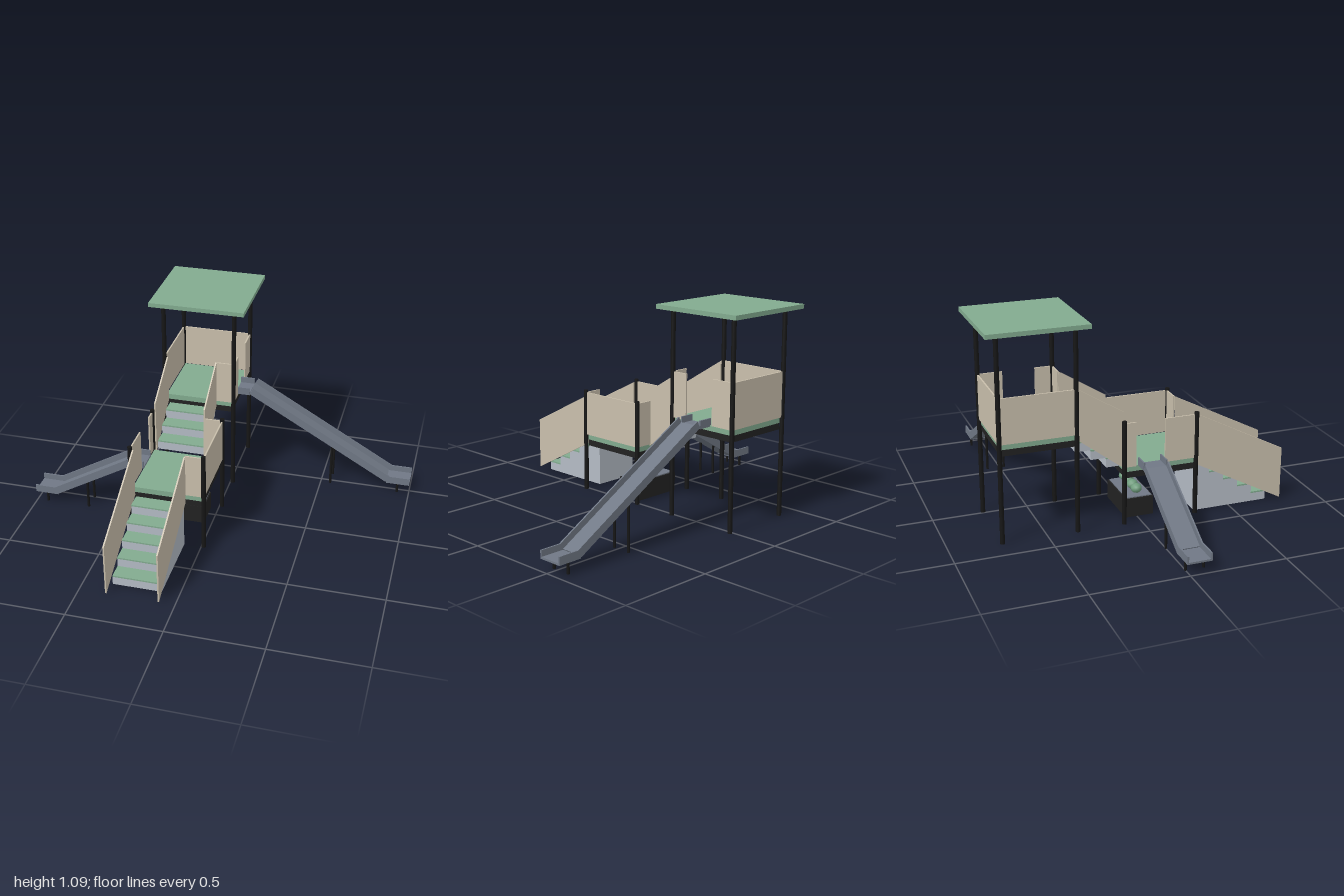
import * as THREE from 'three';

const mat = (name, color) => {
  const m = new THREE.MeshStandardMaterial({ color });
  m.name = name;
  return m;
};

export function createModel() {
  const model = new THREE.Group();
  model.name = 'playground';
  const green = mat('deck green', 0x82ab8f);
  const tan = mat('panel tan', 0xc9bfac);
  const stone = mat('stair grey', 0xb4bbc5);
  const steel = mat('slide grey', 0x707885);
  const black = mat('post black', 0x161616);
  const dark = mat('beam black', 0x222222);
  const leaf = mat('leaf green', 0x6f9d7d);

  const add = (name, geometry, material, parent = model) => {
    const m = new THREE.Mesh(geometry, material);
    m.name = name;
    parent.add(m);
    return m;
  };
  // Box given by its limits on each axis
  const box = (name, material, [x0, x1], [y0, y1], [z0, z1], parent) => {
    const m = add(name, new THREE.BoxGeometry(x1 - x0, y1 - y0, z1 - z0), material, parent);
    m.position.set((x0 + x1) / 2, (y0 + y1) / 2, (z0 + z1) / 2);
    return m;
  };
  // Upright round pole standing on the ground
  const pole = (name, x, z, h, r) => {
    add(name, new THREE.CylinderGeometry(r, r, h, 16), black).position.set(x, h / 2, z);
  };

  const L = -0.376, R = 0.013; // post lines
  const T = 0.004;             // half panel thickness
  const sidePanel = (x, y, z) => box('sidePanel', tan, [x - T, x + T], y, z);
  const crossPanel = (x, y, z) => box('crossPanel', tan, x, y, [z - T, z + T]);

  // Two decks with posts
  const decks = [
    { name: 'lower', y: 0.31, back: -0.093, front: 0.297, post: 0.557 },
    { name: 'upper', y: 0.52, back: -0.732, front: -0.342, post: 1.072 },
  ];
  for (const d of decks) {
    const z = [d.back + 0.006, d.front - 0.006];
    box(d.name + 'Deck', green, [-0.368, 0.005], [d.y - 0.03, d.y], z);
    box(d.name + 'Beam', dark, [-0.366, 0.003], [d.y - 0.064, d.y - 0.03], [z[0] + 0.002, z[1] - 0.002]);
    for (const x of [L, R]) for (const pz of [d.back, d.front]) pole(d.name + 'Post', x, pz, d.post, 0.012);
  }

  // Roof
  box('roof', green, [-0.442, 0.078], [1.07, 1.093], [-0.797, -0.283]);

  // Guard panels of the lower deck
  const lowY = [0.31, 0.545], highY = [0.52, 0.755];
  sidePanel(R, lowY, [-0.093, 0.297]);
  sidePanel(L, lowY, [-0.093, -0.03]);
  sidePanel(L, lowY, [0.125, 0.297]);
  crossPanel([-0.085, 0.008], lowY, 0.294);
  crossPanel([-0.085, 0.008], lowY, -0.092);
  // Guard panels of the upper deck
  sidePanel(L, highY, [-0.732, -0.342]);
  sidePanel(R, highY, [-0.435, -0.342]);
  sidePanel(R, highY, [-0.732, -0.605]);
  crossPanel([L, R], highY, -0.732);
  crossPanel([-0.085, 0.008], highY, -0.342);

  // Stair steps with green treads
  const step = (y0, y1, z0, z1) => {
    box('step', stone, [-0.35, -0.092], [y0, y1 - 0.008], [z0, z1]);
    box('tread', green, [-0.35, -0.092], [y1 - 0.008, y1], [z0, z1]);
  };
  for (let i = 0; i < 5; i++) {
    const front = 0.715 - i * 0.0825;
    step(0, (i + 1) * 0.0522, front - 0.0825, front);
  }
  for (let i = 0; i < 3; i++) {
    const front = -0.1 - i * 0.081;
    step(0.313 + i * 0.0525, 0.3655 + i * 0.0525, front - 0.081, front);
  }

  // Slanted stair panels, outlined in z and y
  const stairPanels = (name, points) => {
    const shape = new THREE.Shape(points.map(([z, y]) => new THREE.Vector2(-z, y)));
    const geo = new THREE.ExtrudeGeometry(shape, { depth: 2 * T, bevelEnabled: false });
    geo.rotateY(Math.PI / 2);
    for (const x of [-0.363, -0.09]) add(name, geo, tan).position.x = x;
  };
  stairPanels('lowerStairPanel', [[0.797, 0.002], [0.3, 0.268], [0.3, 0.542], [0.797, 0.285]]);
  stairPanels('upperStairPanel', [[-0.09, 0.3], [-0.34, 0.49], [-0.34, 0.755], [-0.09, 0.6]]);

  // Slides: straight trough sections along a centre line
  const slide = (name, z, sections, legs) => {
    const g = new THREE.Group();
    g.name = name;
    g.position.z = z;
    model.add(g);
    for (const [x0, y0, x1, y1] of sections) {
      const part = new THREE.Group();
      part.name = 'slideSection';
      const h = Math.hypot(x1 - x0, y1 - y0) / 2;
      part.position.set((x0 + x1) / 2, (y0 + y1) / 2, 0);
      part.rotation.z = Math.atan2(y1 - y0, x1 - x0);
      g.add(part);
      box('slideBed', steel, [-h, h], [-0.021, -0.011], [-0.063, 0.063], part);
      for (const s of [-1, 1]) {
        box('slideWall', steel, [-h, h], [-0.021, 0.021], [s * 0.06 - 0.004, s * 0.06 + 0.004], part);
      }
    }
    for (const [x, h] of legs) for (const s of [-1, 1]) pole('slideLeg', x, z + s * 0.047, h, 0.007);
  };
  slide('longSlide', -0.522,
    [[0, 0.533, 0.078, 0.533], [0.088, 0.537, 0.877, 0.084], [0.87, 0.081, 1, 0.081]],
    [[0.553, 0.25], [0.933, 0.063]]);
  slide('shortSlide', 0.047,
    [[-0.445, 0.33, -0.367, 0.33], [-0.877, 0.084, -0.453, 0.33], [-1, 0.081, -0.87, 0.081]],
    [[-0.7, 0.167], [-0.938, 0.063]]);

  // Planter with bushes under the lower deck
  box('planter', dark, [-0.312, -0.042], [0, 0.102], [-0.062, 0.09]);
  box('planterSoil', steel, [-0.305, -0.049], [0.102, 0.107], [-0.055, 0.083]);
  const bush = new THREE.IcosahedronGeometry(0.03, 1);
  [-0.265, -0.21, -0.15, -0.092].forEach((x, i) => {
    const b = add('bush', bush, leaf);
    b.position.set(x, 0.136, 0.014);
    b.scale.y = 0.85;
    b.rotation.y = i * 1.3;
  });

  return model;
}
